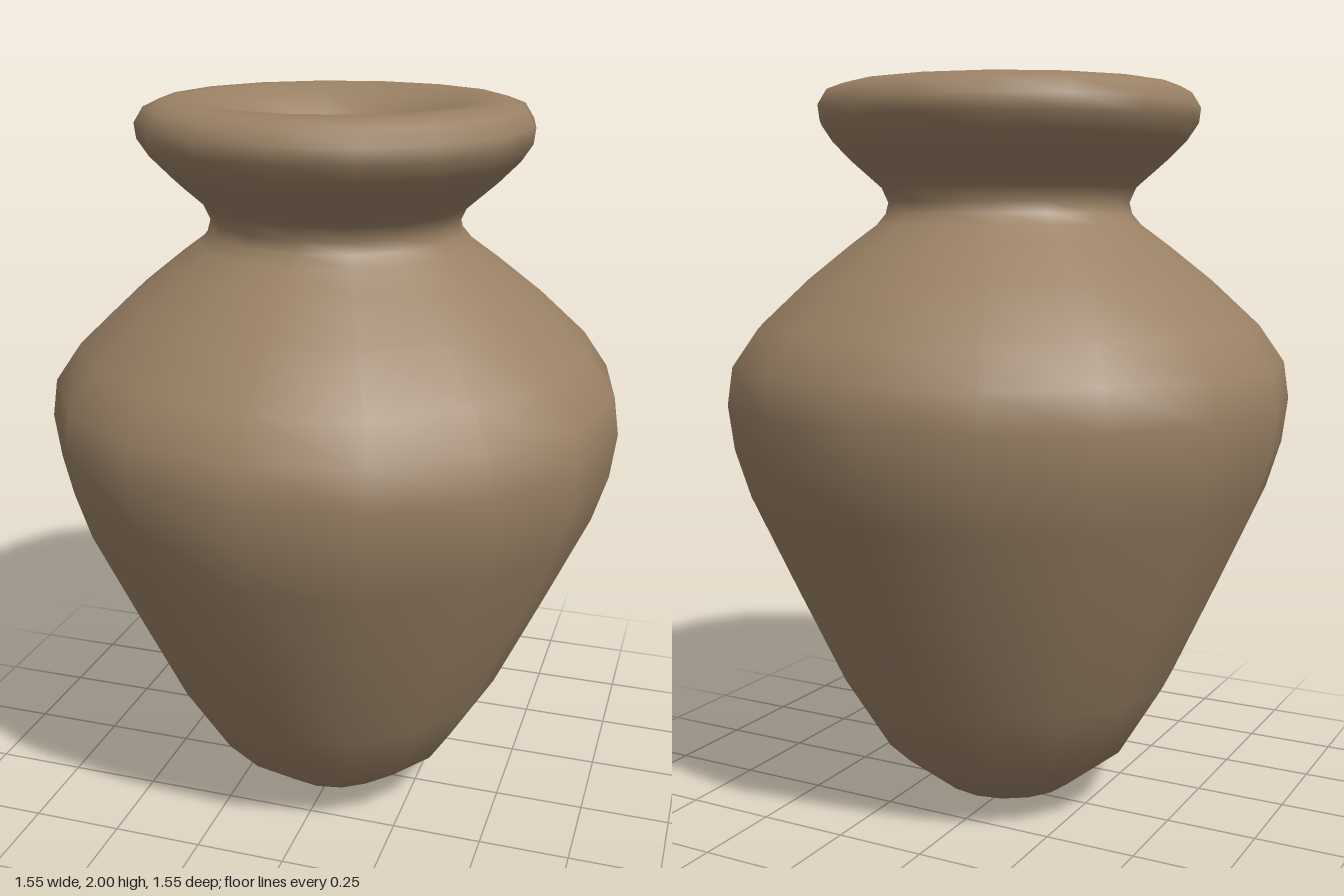
import * as THREE from 'three';

const SIDES = 16;

// Turn a list of [radius, height] pairs into a smooth 16-sided surface
function turned(name, profile, material) {
  const points = profile.map(([r, y]) => new THREE.Vector2(r, y));
  const mesh = new THREE.Mesh(new THREE.LatheGeometry(points, SIDES), material);
  mesh.name = name;
  return mesh;
}

export function createModel() {
  const clay = new THREE.MeshStandardMaterial({ color: 0x9a8165 });
  clay.name = 'brown clay';

  const vase = new THREE.Group();
  vase.name = 'vase';

  // One continuous wall: rounded foot, belly, shoulder, neck, rolled lip, hollow inside
  const foot = [[0, 0], [0.19, 0.045], [0.35, 0.17], [0.475, 0.375]];
  const belly = [[0.60, 0.645], [0.72, 0.91], [0.76, 1.04], [0.775, 1.16], [0.76, 1.26]];
  const shoulder = [[0.69, 1.36], [0.56, 1.48], [0.44, 1.575], [0.365, 1.63]];
  const neck = [[0.34, 1.66], [0.332, 1.69], [0.35, 1.73], [0.43, 1.80]];
  const lip = [[0.485, 1.855], [0.515, 1.90], [0.52, 1.94], [0.495, 1.98], [0.45, 1.997], [0.39, 2]];
  const mouth = [[0.31, 1.975], [0.25, 1.935], [0.20, 1.88], [0.18, 1.82]];
  const cavity = [[0.20, 1.70], [0.30, 1.58], [0.58, 1.34], [0.65, 1.16], [0.60, 0.93], [0.36, 0.40], [0.24, 0.24], [0, 0.2]];

  vase.add(turned('vaseWall', [...foot, ...belly, ...shoulder, ...neck, ...lip, ...mouth, ...cavity], clay));
  return vase;
}
